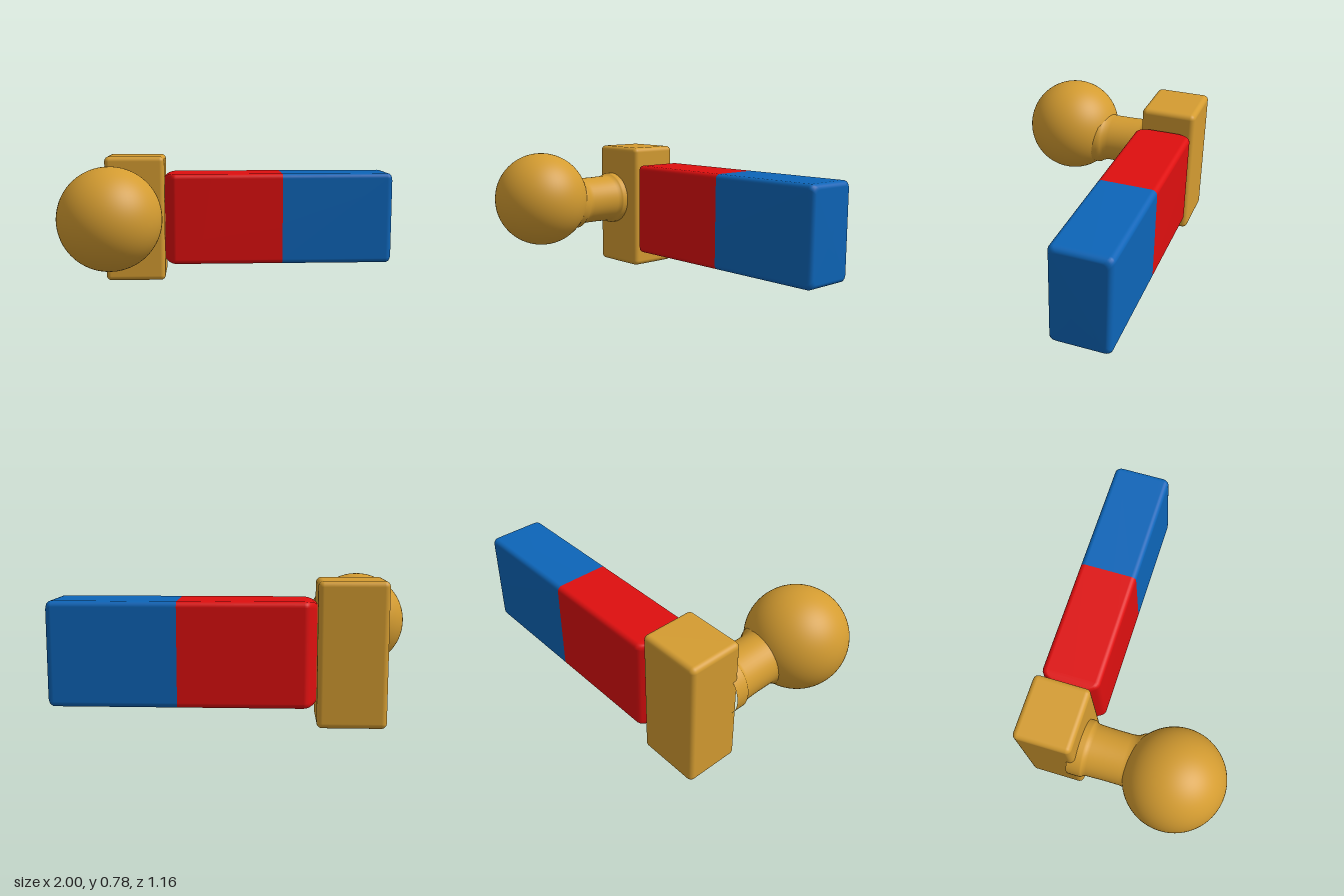
import * as THREE from 'three';
import { RoundedBoxGeometry } from 'three/addons/geometries/RoundedBoxGeometry.js';

const paint = (name, color) => {
  const m = new THREE.MeshStandardMaterial({ color });
  m.name = name;
  return m;
};

// Loft of rounded rectangles along x; each section is [x, halfHeight, halfDepth, cornerRadius].
function loftBar(sections, capStart, capEnd) {
  const pos = [], index = [], steps = 6, n = 4 * (steps + 1);
  for (const [x, h, d, r] of sections) {
    for (let q = 0; q < 4; q++) {
      const sy = q === 0 || q === 3 ? 1 : -1, sz = q < 2 ? 1 : -1;
      for (let s = 0; s <= steps; s++) {
        const a = (q + s / steps) * Math.PI / 2;
        pos.push(x, sy * (h - r) + r * Math.cos(a), sz * (d - r) + r * Math.sin(a));
      }
    }
  }
  for (let i = 0; i < sections.length - 1; i++) {
    for (let j = 0; j < n; j++) {
      const a = i * n + j, b = i * n + (j + 1) % n;
      index.push(a, b, a + n, b, b + n, a + n);
    }
  }
  const cap = (i, flip) => {
    const c = pos.length / 3;
    pos.push(sections[i][0], 0, 0);
    for (let j = 0; j < n; j++) {
      const a = i * n + j, b = i * n + (j + 1) % n;
      index.push(c, flip ? b : a, flip ? a : b);
    }
  };
  if (capStart) cap(0, true);
  if (capEnd) cap(sections.length - 1, false);
  const g = new THREE.BufferGeometry();
  g.setAttribute('position', new THREE.Float32BufferAttribute(pos, 3));
  g.setIndex(index);
  g.computeVertexNormals();
  return g;
}

export function createModel() {
  const model = new THREE.Group();
  const gold = paint('gold', 0xd49c31);
  const red = paint('red', 0xde0f0f);
  const blue = paint('blue', 0x0d65b8);

  const add = (name, geometry, material, x, y, z) => {
    const mesh = new THREE.Mesh(geometry, material);
    mesh.name = name;
    mesh.position.set(x, y, z);
    model.add(mesh);
    return mesh;
  };

  // Upright mounting block
  add('mountBlock', new RoundedBoxGeometry(0.37, 0.78, 0.325, 5, 0.03), gold, -0.615, 0.39, -0.4175);

  // Ball
  add('ball', new THREE.SphereGeometry(0.29, 64, 40), gold, -0.71, 0.47, 0.29);

  // Neck with a stepped collar at the block and a flare into the ball
  const profile = [
    [0.165, -0.3], [0.165, -0.225], [0.161, -0.216], [0.153, -0.208],
    [0.15, -0.19], [0.147, -0.1], [0.147, 0.0], [0.15, 0.025],
    [0.158, 0.045], [0.172, 0.065], [0.172, 0.12],
  ].map(([r, t]) => new THREE.Vector2(r, t));
  const neck = add('neck', new THREE.LatheGeometry(profile, 48), gold, -0.674, 0.436, 0);
  neck.rotation.x = Math.PI / 2;

  // Two-coloured bar: tapered red half, rounded blue half
  const H = 0.284, D = 0.168, R = 0.03;
  const redSections = [
    [-0.435, 0.255, 0.055, 0.025], [-0.428, 0.265, 0.085, R], [-0.41, 0.276, 0.118, R],
    [-0.39, 0.281, 0.152, R], [-0.375, 0.283, 0.164, R], [-0.36, H, D, R], [0.307, H, D, R],
  ];
  const blueSections = [[0.307, H, D, R], [0.965, H, D, R]];
  for (let i = 1; i <= 5; i++) {
    const a = i / 5 * Math.PI / 2, inset = 0.03 * (1 - Math.cos(a));
    blueSections.push([0.965 + 0.035 * Math.sin(a), H - inset, D - inset, R]);
  }
  add('redBarHalf', loftBar(redSections, true, false), red, 0, 0.387, -0.408);
  add('blueBarHalf', loftBar(blueSections, false, true), blue, 0, 0.387, -0.408);

  return model;
}
